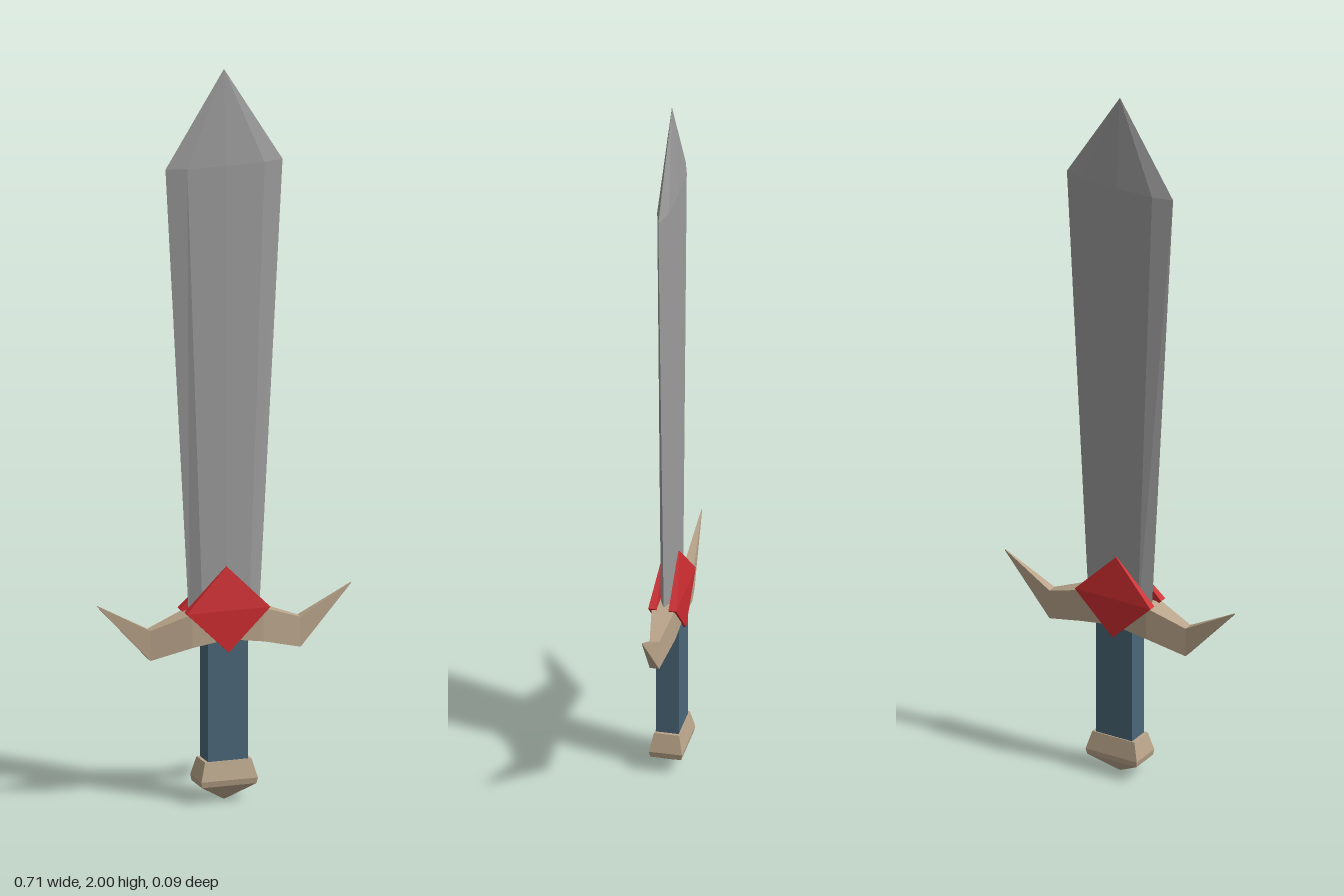
import * as THREE from 'three';

const material = (name, color) => {
  const m = new THREE.MeshStandardMaterial({ color, flatShading: true });
  m.name = name;
  return m;
};

// Closed faceted solid through rings of points; rings run counter-clockwise about the loft direction
function loft(rings) {
  const pos = [];
  const tri = (...pts) => pts.forEach((p) => pos.push(...p));
  const n = rings[0].length;
  for (let i = 0; i < rings.length - 1; i++) {
    for (let j = 0; j < n; j++) {
      const k = (j + 1) % n;
      tri(rings[i][j], rings[i][k], rings[i + 1][k]);
      tri(rings[i][j], rings[i + 1][k], rings[i + 1][j]);
    }
  }
  const first = rings[0], last = rings[rings.length - 1];
  for (let j = 1; j < n - 1; j++) {
    tri(first[0], first[j + 1], first[j]);
    tri(last[0], last[j], last[j + 1]);
  }
  const g = new THREE.BufferGeometry();
  g.setAttribute('position', new THREE.Float32BufferAttribute(pos, 3));
  g.computeVertexNormals();
  return g;
}

export function createModel() {
  const steel = material('steel', 0x9c9c9c);
  const bone = material('bone', 0xb9a48a);
  const ruby = material('ruby', 0xcc2c30);
  const leather = material('leather', 0x4a6778);
  const sword = new THREE.Group();
  sword.name = 'sword';
  const add = (name, geometry, mat) => {
    const mesh = new THREE.Mesh(geometry, mat);
    mesh.name = name;
    sword.add(mesh);
    return mesh;
  };

  // Blade: eight-sided section with a shallow ridge, widening towards the point
  const bladeRing = (y, w, t) => [
    [0, y, t], [0.66 * w, y, 0.86 * t], [w, y, 0], [0.66 * w, y, -0.86 * t],
    [0, y, -t], [-0.66 * w, y, -0.86 * t], [-w, y, 0], [-0.66 * w, y, 0.86 * t],
  ];
  add('blade', loft([
    bladeRing(0.46, 0.096, 0.018), bladeRing(1.74, 0.164, 0.018), bladeRing(2, 0.001, 0.0005),
  ]), steel);

  // Guard: both upswept arms in one loft along x  [x, low y, high y, half depth]
  const arm = [[0, 0.445, 0.53, 0.033], [0.1, 0.43, 0.522, 0.032], [0.21, 0.4, 0.482, 0.013], [0.355, 0.558, 0.561, 0.001]];
  const stations = [...arm.slice(1).reverse().map(([x, ...rest]) => [-x, ...rest]), ...arm];
  add('guard', loft(stations.map(([x, lo, hi, t]) => [
    [x, lo, -t], [x, hi, -t], [x, hi, t], [x, lo, t],
  ])), bone);

  // Gem plates front and back, upper half sloping in to the blade
  const gem = loft([
    [[0.117, 0.525, 0.017], [0, 0.642, 0.017], [-0.117, 0.525, 0.017], [0, 0.41, 0.017]],
    [[0.117, 0.525, 0.038], [0, 0.642, 0.021], [-0.117, 0.525, 0.038], [0, 0.41, 0.038]],
  ]);
  add('frontGem', gem, ruby);
  add('backGem', gem, ruby).rotation.y = Math.PI;

  // Grip
  const grip = new THREE.BoxGeometry(0.112, 0.36, 0.062);
  grip.translate(0, 0.28, 0);
  add('grip', grip, leather);

  // Pommel: flared block ending in a pyramid point
  const pommelRing = (y, w, d) => [[-w, y, d], [w, y, d], [w, y, -d], [-w, y, -d]];
  add('pommel', loft([
    pommelRing(0, 0.002, 0.001), pommelRing(0.046, 0.076, 0.042),
    pommelRing(0.062, 0.079, 0.045), pommelRing(0.113, 0.065, 0.034),
  ]), bone);

  return sword;
}
